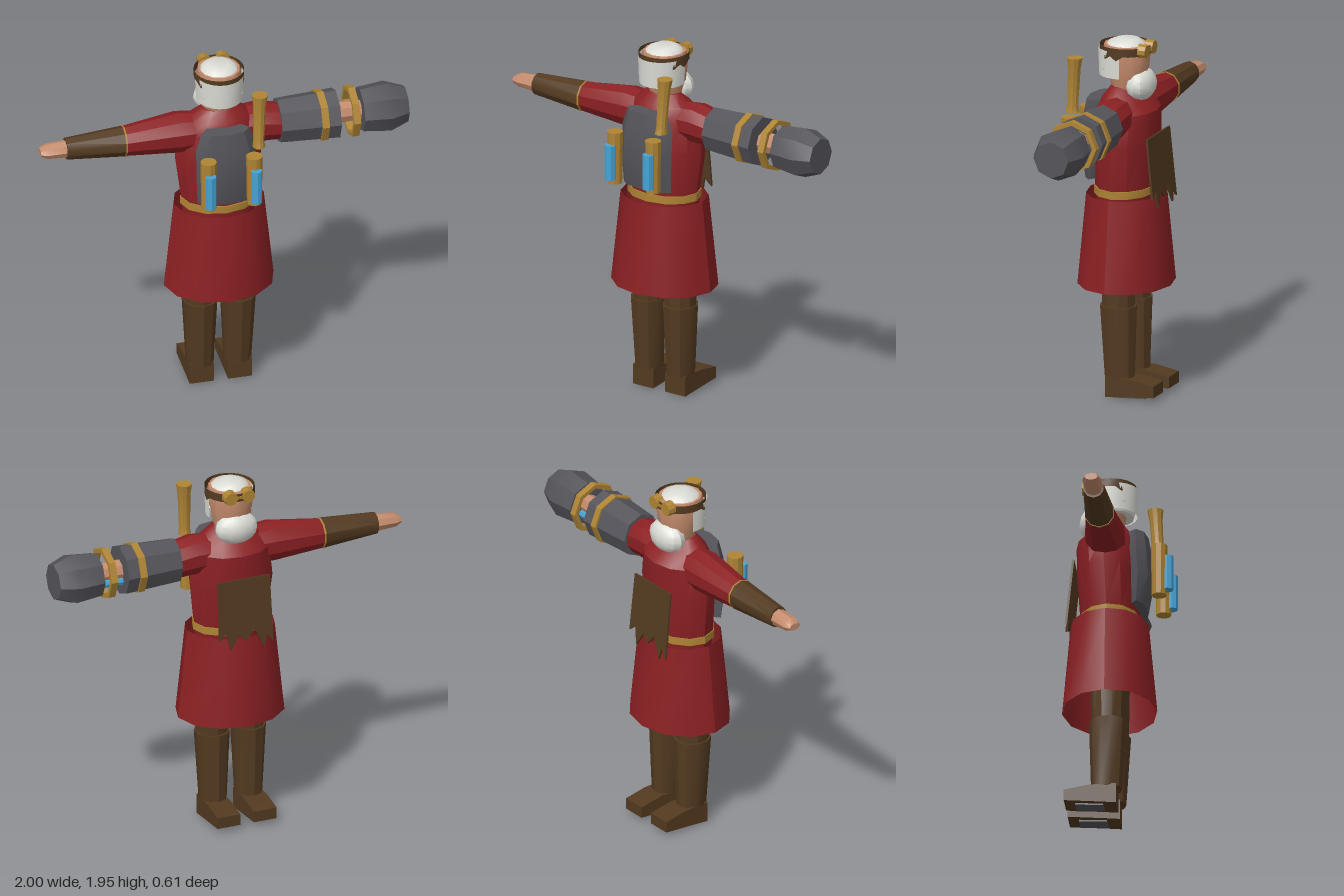
import * as THREE from 'three';
import { toCreasedNormals } from 'three/addons/utils/BufferGeometryUtils.js';

const CX = -0.022; // body centre line

export function createModel() {
  const root = new THREE.Group();
  root.name = 'adventurer';

  const mat = (name, color, side = THREE.FrontSide) => {
    const m = new THREE.MeshStandardMaterial({ color, side });
    m.name = name;
    return m;
  };
  const red = mat('coatRed', 0x8b2023, THREE.DoubleSide);
  const brown = mat('leatherBrown', 0x533a20, THREE.DoubleSide);
  const gold = mat('brass', 0xae8434);
  const grey = mat('gunmetal', 0x55545a);
  const skin = mat('skin', 0xc48b6c);
  const white = mat('hairWhite', 0xdcdcd6, THREE.DoubleSide);
  const blue = mat('glassBlue', 0x45a4d6);

  const add = (name, geo, material, x = 0, y = 0, z = 0) => {
    const mesh = new THREE.Mesh(toCreasedNormals(geo, 0.6), material);
    mesh.name = name;
    mesh.position.set(x, y, z);
    root.add(mesh);
    return mesh;
  };

  // Skin over elliptical rings [t, c1, c2, r1, r2] along the y or x axis
  function loft(rings, n, axis = 'y', capped = true) {
    const pos = [], idx = [];
    const put = (t, a, b) => (axis === 'y' ? pos.push(a, t, b) : pos.push(t, b, a));
    for (const [t, c1, c2, r1, r2] of rings) {
      for (let j = 0; j < n; j++) {
        const a = (j / n) * Math.PI * 2;
        put(t, c1 + r1 * Math.sin(a), c2 + r2 * Math.cos(a));
      }
    }
    for (let i = 0; i < rings.length - 1; i++) {
      for (let j = 0; j < n; j++) {
        const k = (j + 1) % n, a = i * n, b = a + n;
        idx.push(a + j, a + k, b + k, a + j, b + k, b + j);
      }
    }
    if (capped) {
      const last = (rings.length - 1) * n;
      for (let j = 1; j < n - 1; j++) {
        idx.push(0, j + 1, j, last, last + j, last + j + 1);
      }
    }
    const g = new THREE.BufferGeometry();
    g.setAttribute('position', new THREE.Float32BufferAttribute(pos, 3));
    g.setIndex(idx);
    return g;
  }
  // Arm pieces: [x, radius in z, radius in y] around the arm axis
  const arm = (rings, n = 8, capped = true) =>
    loft(rings.map(([x, rz, ry = rz, y = 1.54]) => [x, -0.053, y, rz, ry]), n, 'x', capped);

  // Coat
  add('coatSkirt', loft([
    [0.61, CX, -0.05, 0.3, 0.254],
    [1.11, CX, -0.05, 0.247, 0.209],
  ], 12, 'y', false), red);
  add('coatBody', loft([
    [0.98, CX, -0.045, 0.19, 0.14],
    [1.15, CX, -0.048, 0.207, 0.157],
    [1.4, CX, -0.058, 0.238, 0.165],
    [1.57, CX, -0.063, 0.215, 0.163],
    [1.64, CX, -0.045, 0.17, 0.115],
    [1.695, CX, -0.038, 0.1, 0.065],
  ], 12), red);
  add('belt', loft([
    [1.11, CX, -0.047, 0.212, 0.163],
    [1.152, CX, -0.047, 0.212, 0.163],
  ], 12), gold);

  // Ragged leather apron on the chest
  const apron = new THREE.Shape();
  [[-0.15, 0], [0.15, 0], [0.155, -0.33], [0.11, -0.29], [0.09, -0.39], [0.04, -0.31],
    [0, -0.35], [-0.05, -0.29], [-0.1, -0.4], [-0.12, -0.33], [-0.155, -0.38]]
    .forEach(([x, y], i) => (i ? apron.lineTo(x, y) : apron.moveTo(x, y)));
  const apronMesh = add('chestApron',
    new THREE.ExtrudeGeometry(apron, { depth: 0.012, bevelEnabled: false }), brown, CX, 1.445, -0.236);
  apronMesh.rotation.x = 0.1;

  // Legs, boots and feet
  const footShape = new THREE.Shape();
  [[0, 0.005], [0.07, 0.012], [0.278, 0.03], [0.278, 0.092], [0.15, 0.115], [0, 0.118]]
    .forEach(([u, y], i) => (i ? footShape.lineTo(u, y) : footShape.moveTo(u, y)));
  for (const [side, s] of [['left', 1], ['right', -1]]) {
    const x = CX + s * 0.105;
    add(side + 'Trouser', loft([
      [0.48, x, -0.048, 0.086, 0.09],
      [1.0, x - s * 0.01, -0.048, 0.09, 0.1],
    ], 10), brown);
    add(side + 'Boot', loft([
      [0.112, x - s * 0.002, -0.055, 0.074, 0.084],
      [0.505, x, -0.048, 0.095, 0.102],
    ], 10), brown);
    const foot = new THREE.ExtrudeGeometry(footShape, { depth: 0.132, bevelEnabled: false });
    foot.rotateY(Math.PI / 2);
    add(side + 'Foot', foot, brown, x - 0.066, 0, 0);
    const sole = add(side + 'Sole', new THREE.BoxGeometry(0.085, 0.009, 0.15), grey, x, 0.012, -0.145);
    sole.rotation.x = 0.06;
  }

  // Right arm: sleeve, gauntlet, hand
  add('rightSleeve', arm([
    [-0.54, 0.078, 0.082], [-0.25, 0.11, 0.112, 1.553], [-0.1, 0.1, 0.1, 1.55],
  ], 10), red);
  add('rightCuffRing', arm([[-0.546, 0.082, 0.086], [-0.537, 0.082, 0.086]], 10), gold);
  add('rightGauntlet', arm([[-0.86, 0.056, 0.06], [-0.542, 0.08, 0.084]], 10), brown);
  add('rightHand', arm([
    [-1, 0.036, 0.02], [-0.965, 0.05, 0.038], [-0.85, 0.05, 0.048],
  ], 8), skin);

  // Left arm: sleeve, forearm and the heavy mechanical cannon
  add('leftSleeve', arm([
    [0.06, 0.1, 0.1, 1.55], [0.2, 0.108, 0.11, 1.555], [0.31, 0.1, 0.1],
  ], 10), red);
  add('leftForearm', arm([[0.6, 0.058, 0.062], [0.77, 0.05, 0.055]], 8), skin);
  add('armBarrel', arm([[0.3, 0.116, 0.125], [0.62, 0.136, 0.138]]), grey);
  add('armMuzzle', arm([[0.752, 0.122], [0.9, 0.138], [1.0, 0.1]]), grey);
  for (const x of [0.515, 0.686]) {
    const e = x + 0.038;
    add('armRing', arm([[x, 0.142], [e, 0.142], [e, 0.118], [x, 0.118], [x, 0.142]], 8, false), gold);
  }
  const cell = new THREE.CylinderGeometry(0.024, 0.024, 0.15, 8);
  cell.rotateZ(Math.PI / 2);
  add('armPowerCell', cell, blue, 0.68, 1.495, -0.09);

  // Head, hair and beard
  add('head', loft([
    [1.66, CX, -0.06, 0.085, 0.08],
    [1.75, CX, -0.062, 0.106, 0.105],
    [1.87, CX, -0.048, 0.124, 0.132],
    [1.92, CX, -0.048, 0.114, 0.12],
  ], 12), skin);
  add('hairCrown', loft([
    [1.905, CX, -0.045, 0.112, 0.116],
    [1.935, CX, -0.048, 0.09, 0.09],
    [1.95, CX, -0.055, 0.055, 0.055],
  ], 12), white);
  const backHair = new THREE.CylinderGeometry(0.13, 0.124, 0.15, 12, 1, true, -1.75, 3.5);
  backHair.scale(1, 1, 1.08);
  add('backHair', backHair, white, CX, 1.825, -0.035);
  add('backHairLower', loft([
    [1.745, CX, -0.005, 0.1, 0.085],
    [1.8, CX, -0.015, 0.123, 0.112],
  ], 12), white);
  const beard = new THREE.SphereGeometry(1, 12, 8);
  beard.scale(0.12, 0.09, 0.077);
  add('beard', beard, white, CX, 1.705, -0.134);

  // Headband with a toothed lower edge at the back
  const band = new THREE.CylinderGeometry(0.134, 0.134, 0.045, 24, 1, true);
  const p = band.attributes.position;
  for (let i = 25; i < 50; i++) {
    if (i % 2 && p.getZ(i) > 0) p.setY(i, -0.046);
  }
  band.scale(1, 1, 1.03);
  add('headband', band, brown, CX, 1.898, -0.044);
  for (const s of [-1, 1]) {
    const lens = new THREE.CylinderGeometry(0.036, 0.04, 0.045, 10);
    lens.rotateX(-Math.PI / 2);
    add('goggleLens', lens, gold, CX + s * 0.05, 1.9, -0.168);
  }
  add('goggleBridge', new THREE.BoxGeometry(0.05, 0.015, 0.015), gold, CX, 1.9, -0.178);

  // Backpack with tanks and exhaust pipe
  add('backpack', loft([
    [1.19, CX, 0.105, 0.155, 0.05],
    [1.35, CX, 0.115, 0.163, 0.075],
    [1.52, CX, 0.105, 0.163, 0.07],
    [1.62, CX, 0.1, 0.13, 0.058],
  ], 8), grey);
  for (const s of [-1, 1]) {
    const x = CX + s * 0.125;
    add('brassTank', new THREE.CylinderGeometry(0.044, 0.04, 0.29, 10), gold, x, 1.37, 0.226);
    add('glassTube', new THREE.CylinderGeometry(0.031, 0.031, 0.195, 8), blue, x, 1.353, 0.271);
  }
  add('exhaustPipe', loft([
    [1.555, 0.135, 0.196, 0.034, 0.04],
    [1.59, 0.135, 0.194, 0.029, 0.03],
    [1.8, 0.143, 0.181, 0.035, 0.035],
    [1.858, 0.145, 0.177, 0.043, 0.043],
  ], 10), gold);

  return root;
}
